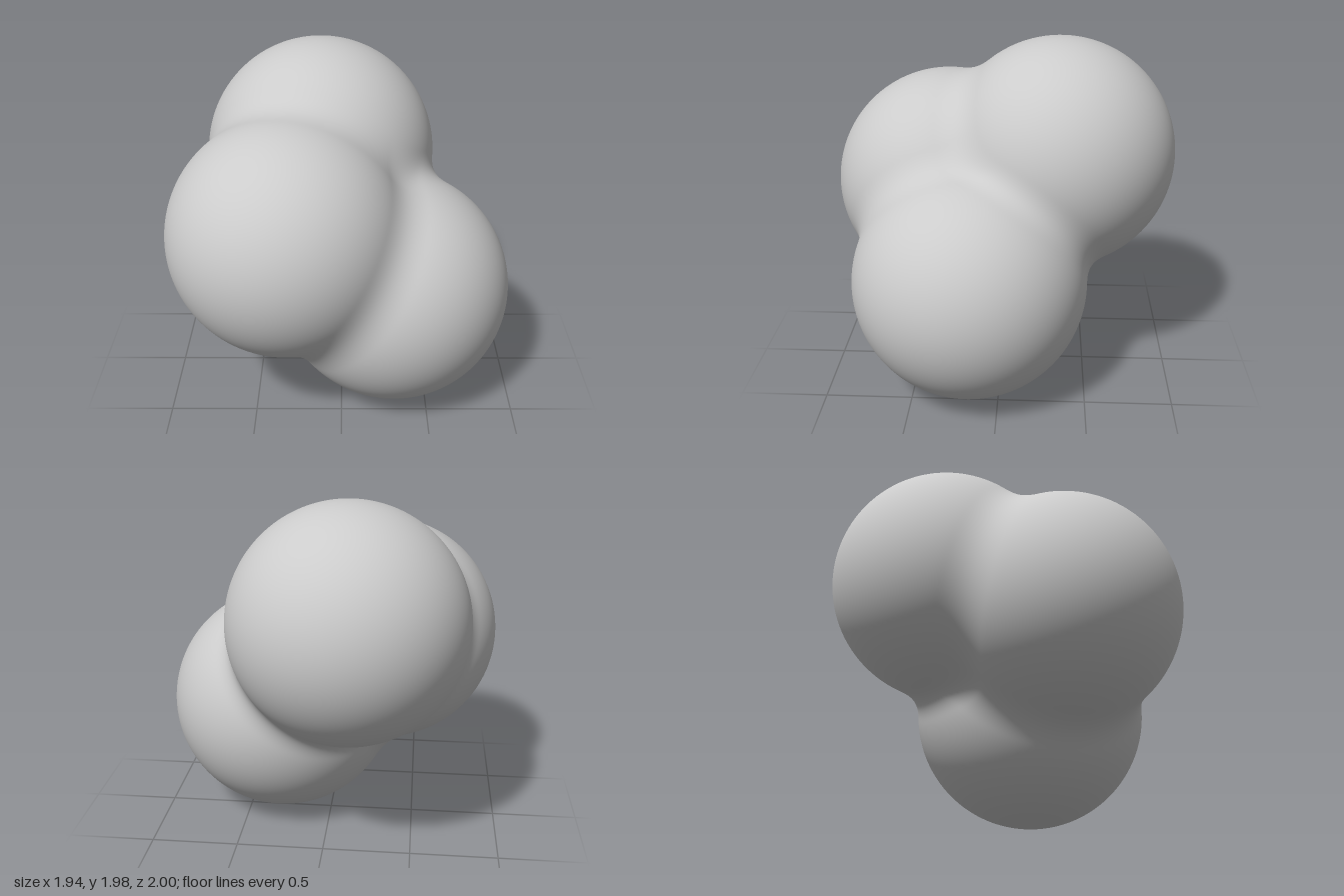
import * as THREE from 'three';
import { mergeVertices } from 'three/addons/utils/BufferGeometryUtils.js';

// Three equal lobes, softly blended where they meet
const RADIUS = 0.67;
const BLEND = 0.13;
const lobes = [
  new THREE.Vector3(-0.3, 1.08, 0.33),
  new THREE.Vector3(0.3, 0.67, 0.17),
  new THREE.Vector3(-0.125, 1.315, -0.33),
];

// Smooth minimum rounds the creases between lobes
function smoothMin(a, b) {
  const h = Math.max(BLEND - Math.abs(a - b), 0) / BLEND;
  return Math.min(a, b) - h * h * BLEND * 0.25;
}

function distance(p) {
  const [a, b, c] = lobes.map((l) => p.distanceTo(l) - RADIUS);
  return smoothMin(smoothMin(a, b), c);
}

export function createModel() {
  // Every lobe contains the common centre, so a sphere can be pushed out to the blended surface
  const centre = new THREE.Vector3();
  lobes.forEach((l) => centre.addScaledVector(l, 1 / lobes.length));

  let geometry = new THREE.IcosahedronGeometry(1, 46);
  geometry.deleteAttribute('normal');
  geometry.deleteAttribute('uv');
  geometry = mergeVertices(geometry, 1e-5);

  const pos = geometry.attributes.position;
  const dir = new THREE.Vector3();
  const p = new THREE.Vector3();
  for (let i = 0; i < pos.count; i++) {
    dir.fromBufferAttribute(pos, i).normalize();
    let near = 0;
    let far = 2;
    for (let step = 0; step < 24; step++) {
      const mid = (near + far) / 2;
      p.copy(centre).addScaledVector(dir, mid);
      if (distance(p) < 0) near = mid;
      else far = mid;
    }
    pos.setXYZ(i, p.x, p.y, p.z);
  }
  geometry.computeVertexNormals();

  const body = new THREE.Mesh(geometry, new THREE.MeshStandardMaterial({ color: 0xcccccc }));
  body.name = 'blendedLobes';
  const group = new THREE.Group();
  group.name = 'threeLobedBlob';
  group.add(body);
  return group;
}
